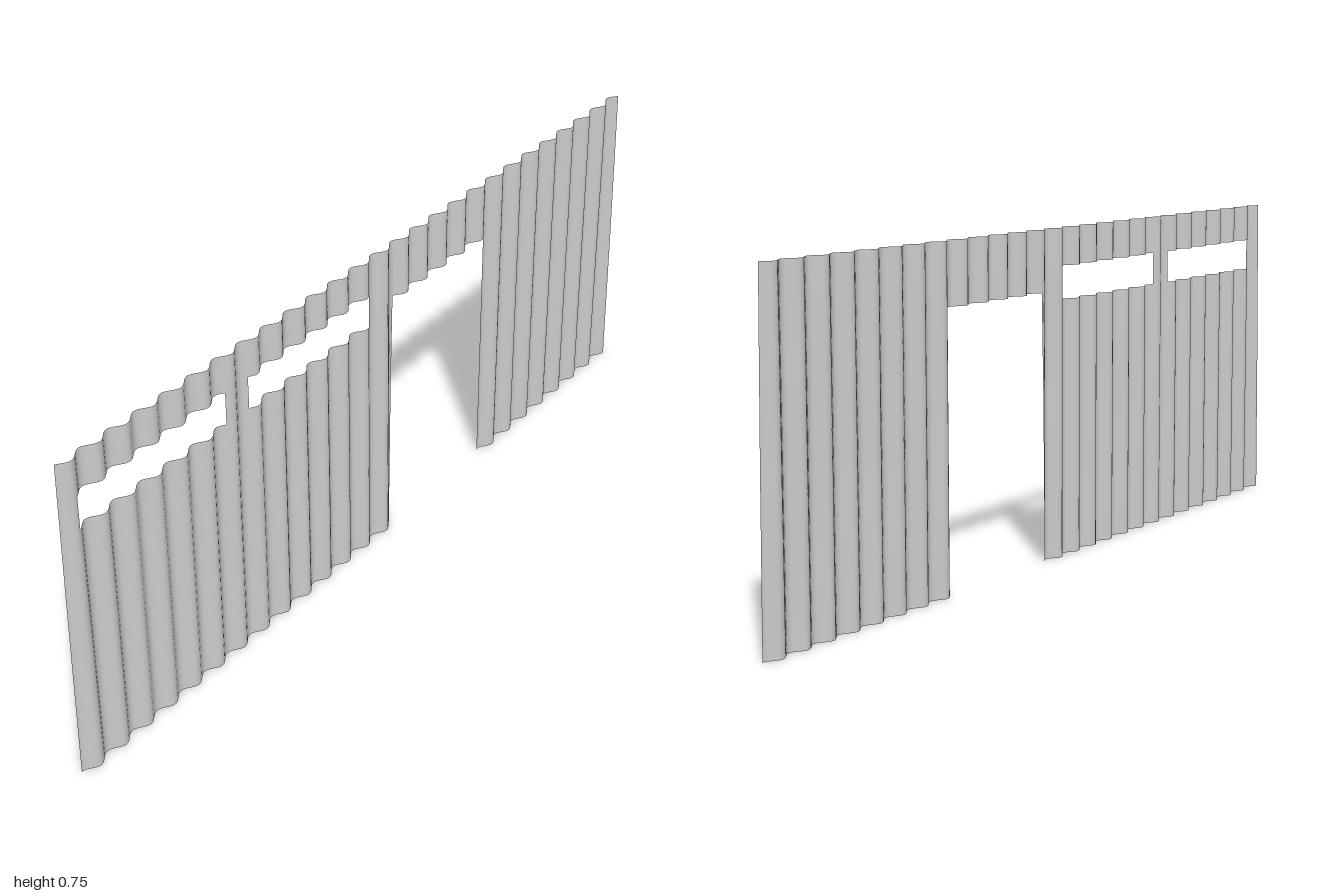
import * as THREE from 'three';

const H = 0.748;        // wall height
const DEPTH = 0.009;    // half depth of the corrugation
const PITCH = 0.075;    // distance between ridges

// Corrugation: one regular wave with a slight drift in phase
const wave = (x) => DEPTH * Math.sin((2 * Math.PI * x) / PITCH + 0.4 * Math.sin(5 * x));

export function createModel() {
  const wall = new THREE.Group();
  wall.name = 'corrugatedWall';
  const material = new THREE.MeshStandardMaterial({ color: 0xcccccc, side: THREE.DoubleSide });

  // Corrugated sheet between two heights; the top edge may differ in x from the bottom
  function sheet(name, y0, y1, x0, x1, top0 = x0, top1 = x1) {
    const columns = Math.ceil((x1 - x0) / (PITCH / 12));
    const geometry = new THREE.PlaneGeometry(1, 1, columns, 2);
    const p = geometry.attributes.position;
    const n = geometry.attributes.normal;
    for (let i = 0; i < p.count; i++) {
      const u = p.getX(i) + 0.5;
      const v = p.getY(i) + 0.5;
      const x = THREE.MathUtils.lerp(
        THREE.MathUtils.lerp(x0, x1, u), THREE.MathUtils.lerp(top0, top1, u), v);
      p.setXYZ(i, x, THREE.MathUtils.lerp(y0, y1, v), wave(x));
      // Normals from the slope, so neighbouring sheets shade without a seam
      const slope = (wave(x + 0.001) - wave(x - 0.001)) / 0.002;
      const normal = new THREE.Vector3(-slope, 0, 1).normalize();
      n.setXYZ(i, normal.x, normal.y, normal.z);
    }
    const mesh = new THREE.Mesh(geometry, material);
    mesh.name = name;
    wall.add(mesh);
  }

  // Full-height strips between the openings
  sheet('rightEndStrip', 0, H, -1, -0.954, -0.99, -0.954);
  sheet('windowPost', 0, H, -0.521, -0.447);
  sheet('doorPost', 0, H, -0.045, 0.05, -0.045, 0.063);
  sheet('leftPanel', 0, H, 0.414, 1, 0.414, 0.99);

  // Panels below and above the two slot windows
  for (const [side, x0, x1] of [['right', -0.954, -0.521], ['left', -0.447, -0.045]]) {
    sheet(side + 'WindowLowerPanel', 0, 0.586, x0, x1);
    sheet(side + 'WindowHeader', 0.661, H, x0, x1);
  }

  // Header over the doorway
  sheet('doorHeader', 0.609, H, 0.06, 0.414, 0.063, 0.414);

  return wall;
}
